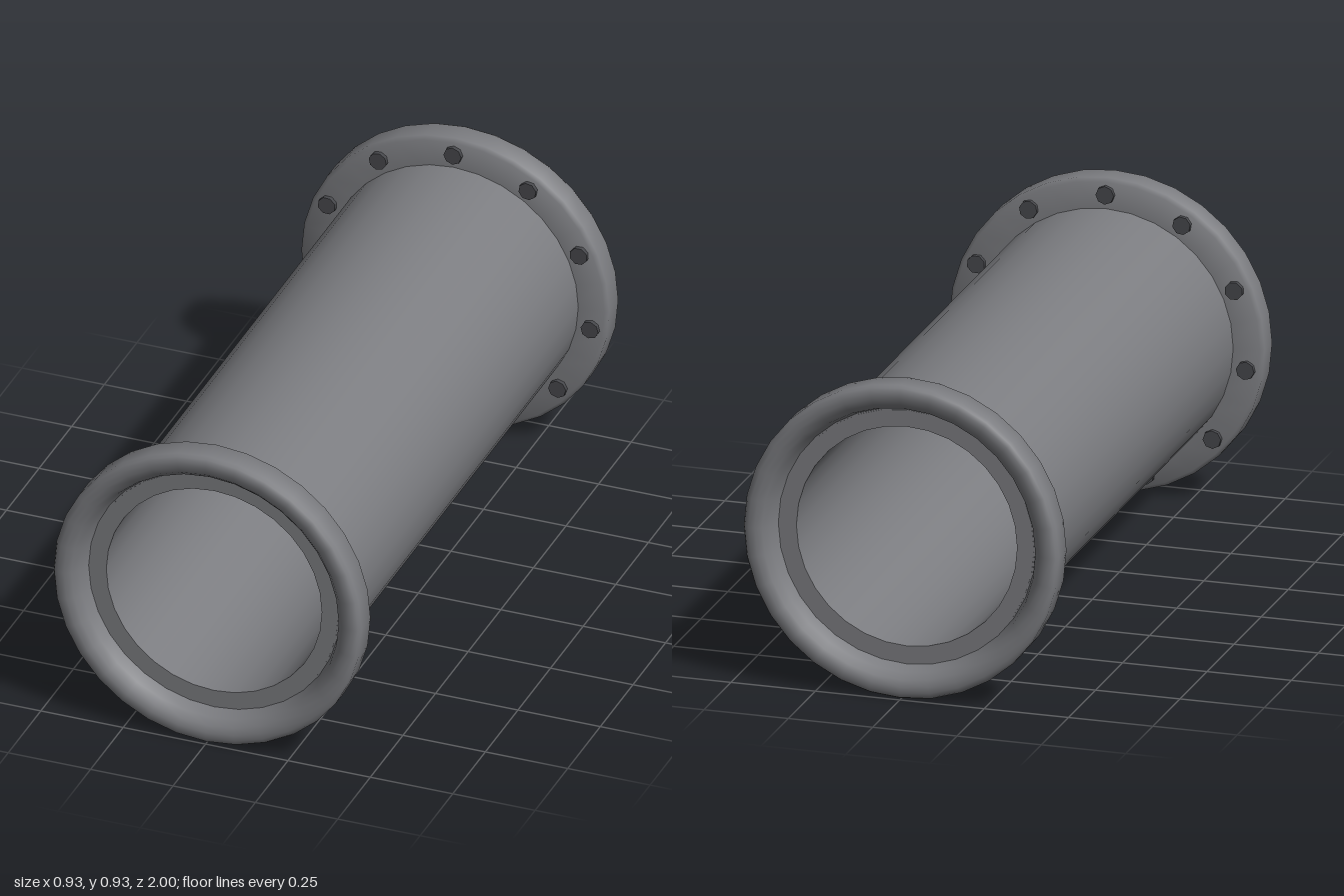
import * as THREE from 'three';
import { toCreasedNormals } from 'three/addons/utils/BufferGeometryUtils.js';

const SIDES = 32;
const AXIS_Y = 0.471;
const BOLTS = 11;
const BOLT_CIRCLE = 0.42;

// Revolves [radius, z] points around the z axis, keeping sharp edges sharp
function turned(points) {
  const g = new THREE.LatheGeometry(points.map(([r, z]) => new THREE.Vector2(r, z)), SIDES);
  g.rotateX(Math.PI / 2);
  return toCreasedNormals(g, 0.9);
}

export function createModel() {
  const steel = new THREE.MeshStandardMaterial({ color: 0x7c7d81 });
  steel.name = 'grey steel';
  const dark = new THREE.MeshStandardMaterial({ color: 0x48494d });
  dark.name = 'dark bolt steel';

  const model = new THREE.Group();
  model.name = 'flangedPipe';

  const add = (parent, name, geometry, material) => {
    const mesh = new THREE.Mesh(geometry, material);
    mesh.name = name;
    parent.add(mesh);
    return mesh;
  };

  // Hollow tube, its end rings recessed inside the flanges
  const end = 0.935;
  const tube = add(model, 'tube', turned([
    [0.327, -end], [0.377, -end], [0.377, end], [0.327, end], [0.327, -end],
  ]), steel);
  tube.position.y = AXIS_Y;

  // Flange with a rounded lip that curves in to the tube end
  const flangeGeometry = turned([
    [0.36, 0.905], [0.456, 0.905], [0.467, 0.915], [0.467, 0.984],
    [0.461, 0.995], [0.448, 1.0], [0.43, 1.0], [0.41, 0.992],
    [0.393, 0.972], [0.381, 0.934], [0.36, 0.934],
  ]);
  const boltGeometry = new THREE.CylinderGeometry(0.027, 0.027, 0.03, 8);
  boltGeometry.rotateX(Math.PI / 2);

  for (const [name, turn] of [['frontFlange', 0], ['backFlange', Math.PI]]) {
    const flange = new THREE.Group();
    flange.name = name;
    flange.position.y = AXIS_Y;
    flange.rotation.y = turn;
    add(flange, 'flangeRing', flangeGeometry, steel);

    // Bolt heads on the inward face, the first one at the top
    for (let i = 0; i < BOLTS; i++) {
      const a = (i / BOLTS) * Math.PI * 2;
      const bolt = add(flange, 'bolt', boltGeometry, dark);
      bolt.position.set(Math.sin(a) * BOLT_CIRCLE, Math.cos(a) * BOLT_CIRCLE, 0.907);
      bolt.rotation.z = -a;
    }
    model.add(flange);
  }
  return model;
}
